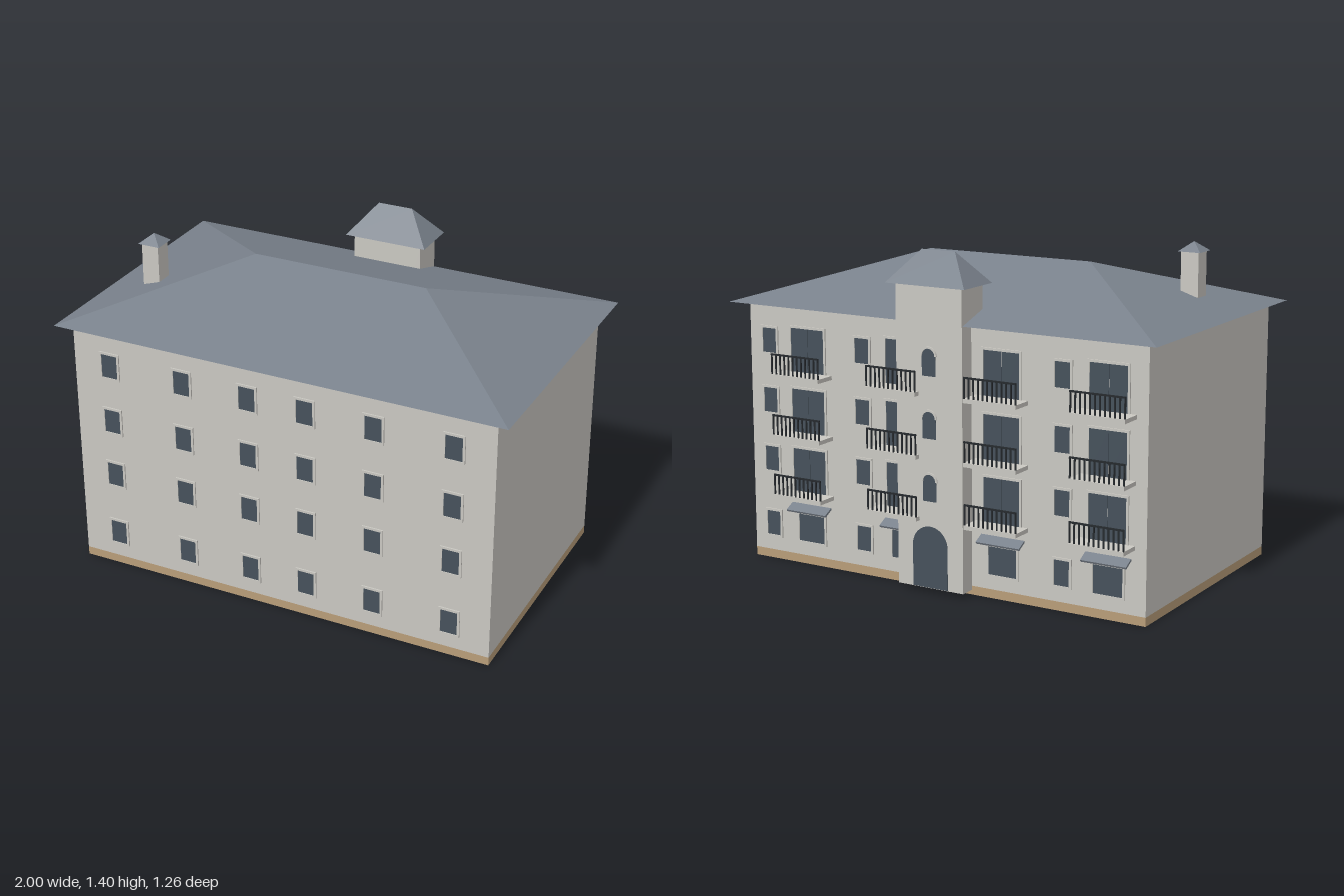
import * as THREE from 'three';

const material = (name, color) => Object.assign(new THREE.MeshStandardMaterial({ color }), { name });

export function createModel() {
  const house = new THREE.Group();
  house.name = 'apartmentHouse';
  const wall = material('plaster', 0xcac8c2);
  const slate = material('slate', 0x79818b);
  const glass = material('darkGlass', 0x46515b);
  const iron = material('railingIron', 0x25292d);
  const stone = material('plinthStone', 0xb89d79);

  const add = (name, geometry, mat, parent = house) => {
    const mesh = new THREE.Mesh(geometry, mat);
    mesh.name = name;
    parent.add(mesh);
    return mesh;
  };
  // box given by its limits on each axis
  const box = (name, x0, x1, y0, y1, z0, z1, mat, parent) => {
    const mesh = add(name, new THREE.BoxGeometry(x1 - x0, y1 - y0, z1 - z0), mat, parent);
    mesh.position.set((x0 + x1) / 2, (y0 + y1) / 2, (z0 + z1) / 2);
    return mesh;
  };
  // closed hipped roof with a ridge of half length r
  const hip = (name, cx, hx, z0, z1, y0, y1, zr, r) => {
    const a = [cx - hx, y0, z1], b = [cx + hx, y0, z1], c = [cx + hx, y0, z0], d = [cx - hx, y0, z0];
    const e = [cx - r, y1, zr], f = [cx + r, y1, zr];
    const faces = [a, b, f, a, f, e, c, d, e, c, e, f, b, c, f, d, a, e, a, d, c, a, c, b];
    const geometry = new THREE.BufferGeometry();
    geometry.setAttribute('position', new THREE.Float32BufferAttribute(faces.flat(), 3));
    geometry.computeVertexNormals();
    return add(name, geometry, slate);
  };
  const extrude = (shape, depth) =>
    new THREE.ExtrudeGeometry(shape, { depth, bevelEnabled: false, curveSegments: 10 });
  const rect = (target, w, h) => {
    target.moveTo(-w / 2, -h / 2).lineTo(w / 2, -h / 2).lineTo(w / 2, h / 2).lineTo(-w / 2, h / 2);
    target.closePath();
    return target;
  };

  // framed window; dir is +1 on the front wall and -1 on the back wall
  const FRONT = 0.58, BACK = -0.535;
  const opening = (name, x, y0, y1, w, dir, leaves = 1) => {
    const group = new THREE.Group();
    group.name = name;
    group.position.set(x, (y0 + y1) / 2, dir > 0 ? FRONT : BACK);
    if (dir < 0) group.rotation.y = Math.PI;
    house.add(group);
    const h = y1 - y0;
    const shape = rect(new THREE.Shape(), w + 0.02, h + 0.02);
    shape.holes.push(rect(new THREE.Path(), w, h));
    add('frame', extrude(shape, 0.006), wall, group);
    const leaf = w / leaves;
    for (let i = 0; i < leaves; i++) {
      const left = -w / 2 + i * leaf + (i ? 0.002 : 0);
      box('pane', left, -w / 2 + (i + 1) * leaf, -h / 2, h / 2, 0, 0.003, glass, group);
    }
  };

  // main block
  box('plinth', -0.94, 0.94, 0, 0.037, BACK, FRONT, stone);
  box('walls', -0.94, 0.94, 0.037, 1.115, BACK, FRONT, wall);
  hip('mainRoof', 0, 1, -0.6, 0.63, 1.113, 1.31, 0.015, 0.388);

  // chimney
  box('chimney', -0.81, -0.732, 1.12, 1.362, 0.153, 0.23, wall);
  hip('chimneyCap', -0.771, 0.05, 0.143, 0.241, 1.36, 1.4, 0.192, 0);

  // small windows on four floors
  const floors = [[0.105, 0.21], [0.39, 0.495], [0.645, 0.75], [0.902, 1.006]];
  for (const [y0, y1] of floors) {
    for (const x of [-0.773, -0.432, -0.132, 0.126, 0.425, 0.765])
      opening('frontWindow', x, y0, y1, 0.073, 1);
    for (const x of [0.84, 0.37, -0.57]) opening('backWindow', x, y0, y1, 0.068, -1);
  }

  // balcony columns, each with a ground floor window and awning
  const railing = (x, y) => {
    const group = new THREE.Group();
    group.name = 'railing';
    house.add(group);
    const bars = 12, half = 0.117;
    for (let i = 0; i < bars; i++) {
      const bx = x - half + (2 * half * i) / (bars - 1);
      box('bar', bx - 0.003, bx + 0.003, y, y + 0.085, -0.63, -0.625, iron, group);
    }
    box('handrail', x - 0.12, x + 0.12, y + 0.08, y + 0.087, -0.631, -0.624, iron, group);
  };
  for (const x of [-0.77, -0.295, 0.17, 0.645]) {
    for (const y of [0.317, 0.574, 0.833]) {
      box('balconySlab', x - 0.12, x + 0.12, y - 0.017, y, -0.633, BACK, wall);
      railing(x, y);
      opening('balconyDoor', x, y, y + 0.185, 0.165, -1, 2);
    }
    opening('groundWindow', x - 0.005, 0.1, 0.218, 0.13, -1);
    const awning = add('awning', new THREE.BoxGeometry(0.2, 0.009, 0.05), slate);
    awning.position.set(x - 0.005, 0.248, -0.557);
    awning.rotation.x = -0.49;
  }

  // stair tower
  const TOWER = -0.605;
  box('stairTower', -0.155, 0.155, 0.02, 1.266, TOWER, -0.45, wall);
  hip('towerRoof', 0, 0.185, -0.635, -0.425, 1.265, 1.395, -0.53, 0.078);
  const arched = (name, w, y0, y1) => {
    const r = w / 2;
    const shape = new THREE.Shape();
    shape.moveTo(-r, y0).lineTo(r, y0).lineTo(r, y1 - r);
    shape.absarc(0, y1 - r, r, 0, Math.PI, false);
    add(name, extrude(shape, 0.002), glass).position.z = TOWER - 0.002;
  };
  arched('entranceDoor', 0.165, 0.022, 0.28);
  for (const top of [0.503, 0.762, 1.018]) {
    arched('towerWindow', 0.064, top - 0.118, top - 0.004);
    const hood = new THREE.Shape();
    hood.absarc(0, top - 0.036, 0.038, 0, Math.PI, false);
    hood.absarc(0, top - 0.036, 0.03, Math.PI, 0, true);
    add('windowHood', extrude(hood, 0.006), wall).position.z = TOWER - 0.006;
  }
  return house;
}
